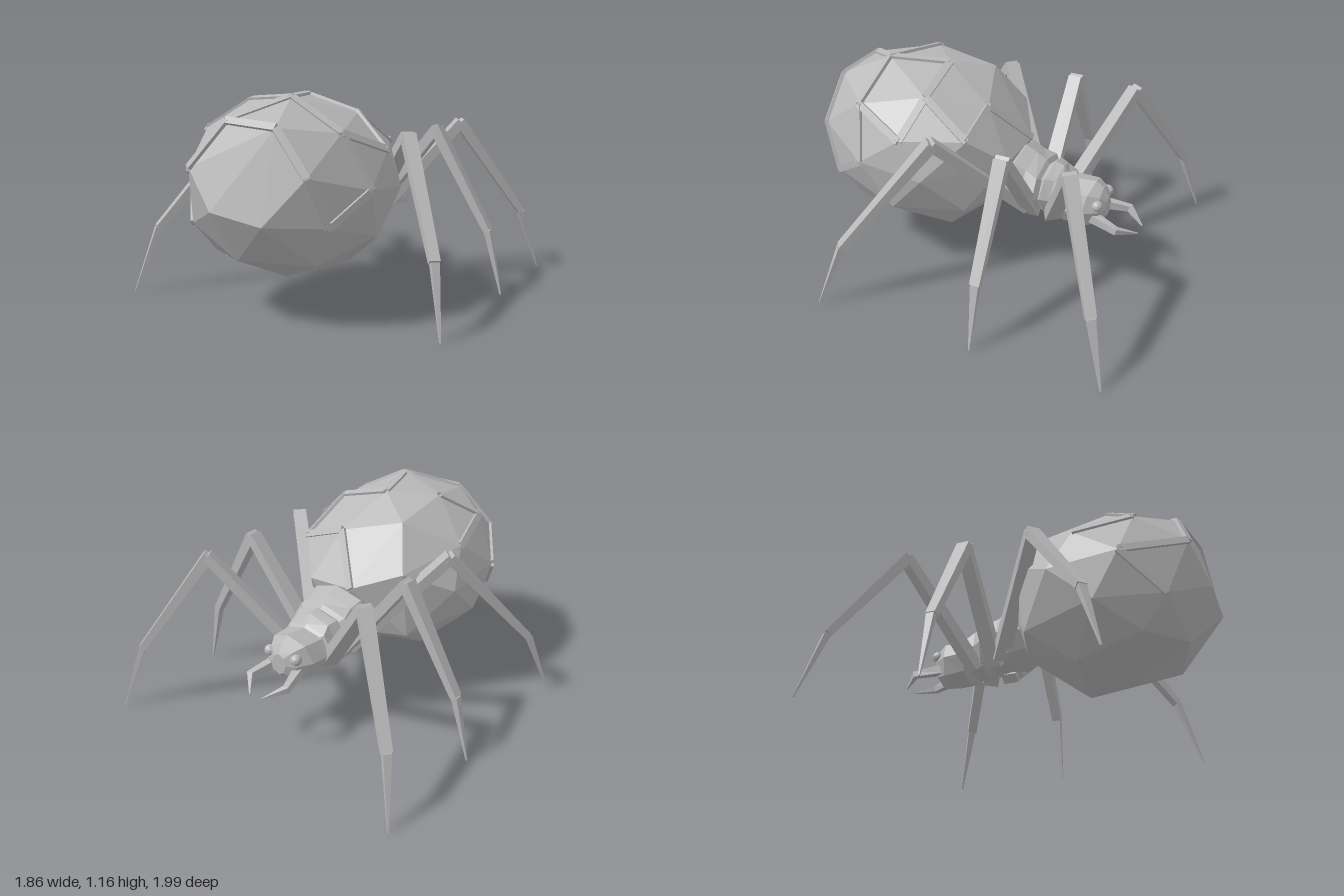
import * as THREE from 'three';
import { ConvexGeometry } from 'three/addons/geometries/ConvexGeometry.js';

const V = (p) => new THREE.Vector3(...p);
const shell = new THREE.MeshStandardMaterial({ color: 0xb8b8b8, flatShading: true });
shell.name = 'grey shell';

function addMesh(parent, name, geometry) {
  const mesh = new THREE.Mesh(geometry, shell);
  mesh.name = name;
  parent.add(mesh);
  return mesh;
}

// Closed skin over a row of equal-sized rings
function loft(rings) {
  const n = rings[0].length, pos = [];
  const tri = (...pts) => pts.forEach((p) => pos.push(p.x, p.y, p.z));
  for (let r = 0; r < rings.length - 1; r++) {
    for (let i = 0; i < n; i++) {
      const j = (i + 1) % n, a = rings[r], b = rings[r + 1];
      tri(a[i], a[j], b[j]);
      tri(a[i], b[j], b[i]);
    }
  }
  const last = rings[rings.length - 1];
  for (let i = 1; i < n - 1; i++) {
    tri(rings[0][0], rings[0][i + 1], rings[0][i]);
    tri(last[0], last[i], last[i + 1]);
  }
  const g = new THREE.BufferGeometry();
  g.setAttribute('position', new THREE.Float32BufferAttribute(pos, 3));
  g.computeVertexNormals();
  return g;
}

// Four-sided tapering bar along a path; up(p) sets the roll, sizes are [width, height]
function bar(points, sizes, up) {
  return loft(points.map((p, i) => {
    const before = points[Math.max(i - 1, 0)], after = points[Math.min(i + 1, points.length - 1)];
    const t = after.clone().sub(before).normalize();
    const s = t.clone().cross(up(p)).normalize();
    const n = t.clone().cross(s);
    const [w, h] = sizes[i];
    return [[1, 1], [-1, 1], [-1, -1], [1, -1]].map(([a, b]) =>
      p.clone().addScaledVector(s, a * w / 2).addScaledVector(n, b * h / 2));
  }));
}

// Corners of the faceted abdomen
const C = {
  crown: [0.0, 1.135, 0.27], peak: [0.09, 1.145, 0.6], leftTop: [0.39, 0.98, 0.63],
  leftSide: [0.5, 0.87, 0.33], leftRim: [0.525, 0.7, 0.57], leftLow: [0.4, 0.535, 0.79],
  tailLeft: [0.34, 0.79, 0.89], tailTopLeft: [0.16, 1.02, 0.87], tailTopRight: [-0.15, 1.035, 0.83],
  tailRight: [-0.32, 0.8, 0.92], rightRim: [-0.525, 0.71, 0.6], rightLow: [-0.38, 0.49, 0.81],
  rightTop: [-0.39, 0.97, 0.65], rightPeak: [-0.24, 1.11, 0.46], rightSide: [-0.47, 0.9, 0.33],
  rightFront: [-0.23, 1.05, 0.1], neckTop: [0.1, 0.965, -0.01], leftFront: [0.36, 0.87, 0.0],
  leftShoulder: [0.3, 1.05, 0.27], neckRight: [-0.09, 0.72, -0.19], neckLeft: [0.2, 0.7, -0.17],
  tailA: [0.14, 0.55, 0.98], tailB: [-0.15, 0.6, 0.99], belly: [0, 0.18, 0.51],
  bellyLeft: [0.21, 0.22, 0.18], bellyRight: [-0.26, 0.25, 0.27], bellyTail: [-0.09, 0.33, 0.84],
  bellyTailLeft: [0.28, 0.31, 0.7], bellyTailRight: [-0.34, 0.32, 0.66],
  flankLeft: [0.48, 0.43, 0.4], flankRight: [-0.5, 0.47, 0.45],
  hipLeft: [0.52, 0.66, 0.2], hipRight: [-0.52, 0.68, 0.2],
  chestLeft: [0.34, 0.42, 0.03], chestRight: [-0.34, 0.43, 0.0],
  throat: [0, 0.42, -0.12], shoulderRight: [-0.34, 0.82, -0.05],
};

// Raised rims of the abdomen plates
const SEAMS = [
  ['neckRight', 'neckTop', 'leftFront', 'leftShoulder', 'crown'],
  ['crown', 'leftShoulder', 'leftSide', 'leftTop', 'peak', 'crown'],
  ['leftTop', 'leftRim', 'leftLow', 'tailLeft', 'tailTopLeft', 'tailTopRight'],
  ['peak', 'tailTopRight', 'tailRight', 'rightRim', 'rightLow'],
  ['peak', 'rightPeak', 'rightTop', 'rightSide'],
];

// Body sections: z, half width, centre height, half height
const SECTIONS = {
  rearThorax: [[-0.08, 0.15, 0.53, 0.12], [-0.18, 0.22, 0.54, 0.18], [-0.25, 0.195, 0.53, 0.155],
    [-0.32, 0.215, 0.51, 0.145], [-0.35, 0.15, 0.5, 0.11]],
  frontThorax: [[-0.31, 0.14, 0.5, 0.12], [-0.36, 0.18, 0.5, 0.155], [-0.41, 0.155, 0.49, 0.15],
    [-0.46, 0.17, 0.48, 0.11], [-0.5, 0.1, 0.47, 0.08]],
  head: [[-0.42, 0.1, 0.46, 0.08], [-0.47, 0.165, 0.455, 0.125], [-0.6, 0.15, 0.455, 0.135],
    [-0.66, 0.1, 0.45, 0.11], [-0.69, 0.045, 0.45, 0.06]],
};

// Left legs: base, knee, ankle, tip
const LEGS = {
  frontLeg: [[0.1, 0.37, -0.4], [0.52, 0.92, -0.64], [0.84, 0.36, -0.895], [0.925, 0, -0.995]],
  middleLeg: [[0.1, 0.37, -0.28], [0.52, 0.92, -0.28], [0.84, 0.36, -0.28], [0.925, 0, -0.28]],
  rearLeg: [[0.12, 0.4, -0.24], [0.52, 0.92, 0.12], [0.84, 0.36, 0.515], [0.925, 0, 0.635]],
};

export function createModel() {
  const model = new THREE.Group();
  model.name = 'beetle';

  // Abdomen with plate rims
  const centre = new THREE.Vector3(0, 0.66, 0.42);
  const outward = (p) => p.clone().sub(centre).normalize();
  const abdomen = new THREE.Group();
  abdomen.name = 'abdomen';
  model.add(abdomen);
  addMesh(abdomen, 'abdomenShell', new ConvexGeometry(Object.values(C).map(V)));
  for (const seam of SEAMS) {
    for (let i = 0; i < seam.length - 1; i++) {
      const ends = [V(C[seam[i]]), V(C[seam[i + 1]])];
      addMesh(abdomen, 'plateRim', bar(ends, [[0.04, 0.022], [0.04, 0.022]], outward));
    }
  }

  // Thorax and head
  for (const [name, rows] of Object.entries(SECTIONS)) {
    addMesh(model, name, loft(rows.map(([z, w, y, h], r) => Array.from({ length: 8 }, (_, i) => {
      const a = (i / 8) * Math.PI * 2;
      return new THREE.Vector3(w * Math.cos(a), y - h * Math.sin(a), z + (r > 2 ? 0 : 0.015 * Math.cos(2 * a)));
    }))));
  }

  // Paired limbs, feelers and eyes
  for (const side of [1, -1]) {
    const prefix = side > 0 ? 'left' : 'right';
    const at = (p) => new THREE.Vector3(p[0] * side, p[1], p[2]);
    for (const [name, path] of Object.entries(LEGS)) {
      const [base, knee, ankle, tip] = path.map(at);
      // roll the bars so two faces stay parallel to the leg's upright plane
      const flat = tip.clone().sub(base).setY(0).normalize();
      const across = new THREE.Vector3(-flat.z, 0, flat.x);
      const leg = new THREE.Group();
      leg.name = prefix + name[0].toUpperCase() + name.slice(1);
      model.add(leg);
      const kneeIn = knee.clone().addScaledVector(flat, 0.01);
      addMesh(leg, 'thigh', bar([base, kneeIn], [[0.06, 0.09], [0.055, 0.075]], () => across));
      addMesh(leg, 'shin', bar([knee, ankle], [[0.06, 0.075], [0.038, 0.055]], () => across));
      addMesh(leg, 'foot', bar([ankle, tip], [[0.036, 0.045], [0.008, 0.008]], () => across));
    }
    const feeler = [[0.08, 0.41, -0.62], [0.125, 0.385, -0.78], [0.04, 0.345, -0.88]].map(at);
    addMesh(model, prefix + 'Feeler', bar(feeler, [[0.05, 0.055], [0.034, 0.036], [0.006, 0.006]],
      () => new THREE.Vector3(0, 1, 0)));
    const eye = addMesh(model, prefix + 'Eye', new THREE.IcosahedronGeometry(0.032, 1));
    eye.position.copy(at([0.09, 0.49, -0.655]));
  }
  return model;
}
